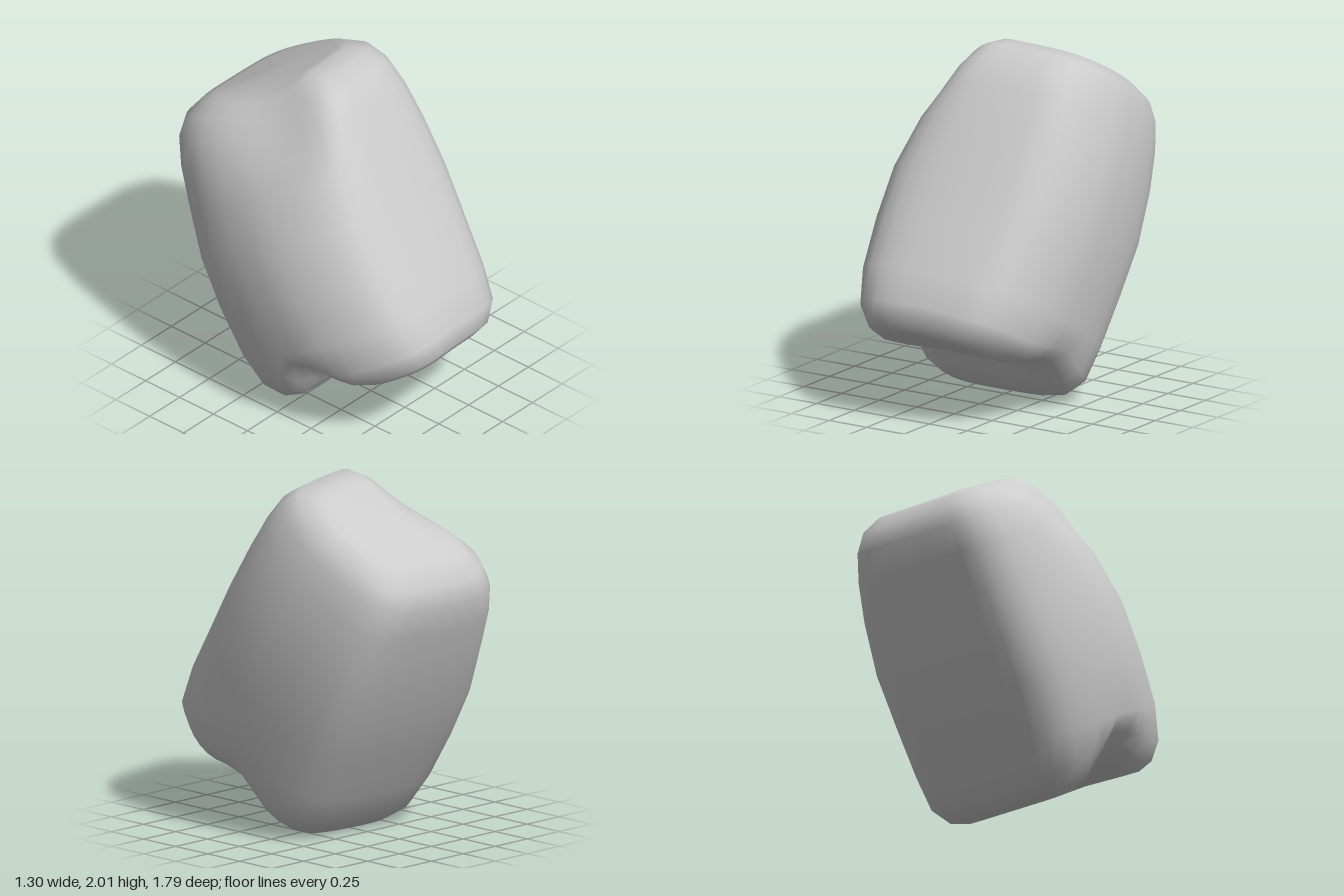
import * as THREE from 'three';
import { mergeVertices } from 'three/addons/utils/BufferGeometryUtils.js';

// Leaning axis: s runs up and back along the boulder, t runs across it to the front
const LEAN = Math.PI / 6;
const SIDES = 44;
const { smoothstep } = THREE.MathUtils;

// Unit outline of a cross-section (x, t): the front turns slightly to +x, the sides bulge
const outline = new THREE.CatmullRomCurve3([
  [0, 0.985], [0.38, 0.93], [0.69, 0.84], [0.87, 0.6], [0.97, 0.3], [1, 0], [0.965, -0.42], [0.86, -0.78], [0.66, -0.94], [0.36, -0.985],
  [0, -1], [-0.38, -1], [-0.65, -0.96], [-0.85, -0.8], [-0.965, -0.45], [-1, 0], [-0.96, 0.33], [-0.83, 0.67], [-0.63, 0.92], [-0.35, 1],
].map(([x, t]) => new THREE.Vector3(x, t, 0)), true);

// Rings along the axis: s, reach to -x, reach to +x, reach to front, reach to back
const body = [
  [-0.835, 0.42, 0.39, 0.51, 0.52],
  [-0.8, 0.5, 0.48, 0.585, 0.6],
  [-0.7, 0.58, 0.56, 0.63, 0.65],
  [-0.5, 0.635, 0.59, 0.645, 0.665],
  [-0.2, 0.655, 0.62, 0.63, 0.67],
  [0.1, 0.64, 0.645, 0.62, 0.67],
  [0.4, 0.59, 0.635, 0.61, 0.635],
  [0.62, 0.55, 0.605, 0.6, 0.605],
  [0.78, 0.495, 0.565, 0.575, 0.57],
  [0.88, 0.42, 0.515, 0.51, 0.5],
  [0.935, 0.33, 0.43, 0.39, 0.38],
];

// Shrink an end ring towards its middle to close the boulder
const shrink = ([s, ...reach], k, rise) => [s + rise * (1 - k), ...reach.map((r) => r * k)];

// Hollow under the front lip, cut deeper in the middle and on the left edge
function hollow(x, s, t) {
  const depth = 0.085 + 0.05 * Math.exp(-((x / 0.3) ** 2)) + 0.09 * smoothstep(-x, 0.25, 0.5);
  const notch = depth * Math.exp(-(((t + 0.1) / 0.19) ** 2));
  const arch = 0.015 * Math.exp(-((x / 0.25) ** 2)) * smoothstep(t, 0, 0.4);
  return smoothstep(-s, 0.5, 0.8) * (notch + arch);
}

// Worn slope on the top corner at the front, on the -x side
const wear = (x, s, t) => 0.17 * smoothstep(s, 0.3, 0.9) * smoothstep(-x, 0.05, 0.4) * smoothstep(t, -0.4, 0.5);

// Taper of the -x side towards the top front
const taper = (x, s, t) => (x < 0 ? 1 - 0.22 * smoothstep(s, 0.15, 0.8) * smoothstep(t, -0.3, 0.35) : 1);

function createBoulderGeometry() {
  const steps = [0, 0.14, 0.28, 0.42, 0.56, 0.7, 0.85];
  const rings = [
    ...steps.map((k) => shrink(body[0], k, -0.005)),
    ...body,
    ...steps.slice().reverse().map((k) => shrink(body[body.length - 1], k, 0.015)),
  ];
  const positions = [];
  const index = [];
  rings.forEach(([s0, left, right, front, back], r) => {
    for (let i = 0; i < SIDES; i++) {
      const p = outline.getPoint(i / SIDES);
      const t = p.y * (p.y > 0 ? front : back);
      const x = p.x * (p.x < 0 ? left : right) * taper(p.x, s0, t);
      const s = s0 + hollow(x, s0, t) - wear(x, s0, t);
      positions.push(
        x,
        1 + s * Math.cos(LEAN) + t * Math.sin(LEAN),
        -s * Math.sin(LEAN) + t * Math.cos(LEAN),
      );
      if (r < rings.length - 1) {
        const a = r * SIDES + i;
        const b = r * SIDES + ((i + 1) % SIDES);
        index.push(a, b, b + SIDES, a, b + SIDES, a + SIDES);
      }
    }
  });
  let geometry = new THREE.BufferGeometry();
  geometry.setAttribute('position', new THREE.Float32BufferAttribute(positions, 3));
  geometry.setIndex(index);
  geometry = mergeVertices(geometry, 1e-4);
  // Rest the lowest point on the ground
  geometry.computeBoundingBox();
  geometry.translate(0, -geometry.boundingBox.min.y, 0);
  geometry.computeVertexNormals();
  return geometry;
}

export function createModel() {
  const group = new THREE.Group();
  group.name = 'rock';
  const boulder = new THREE.Mesh(
    createBoulderGeometry(),
    new THREE.MeshStandardMaterial({ color: 0xcccccc }),
  );
  boulder.name = 'boulder';
  group.add(boulder);
  return group;
}
